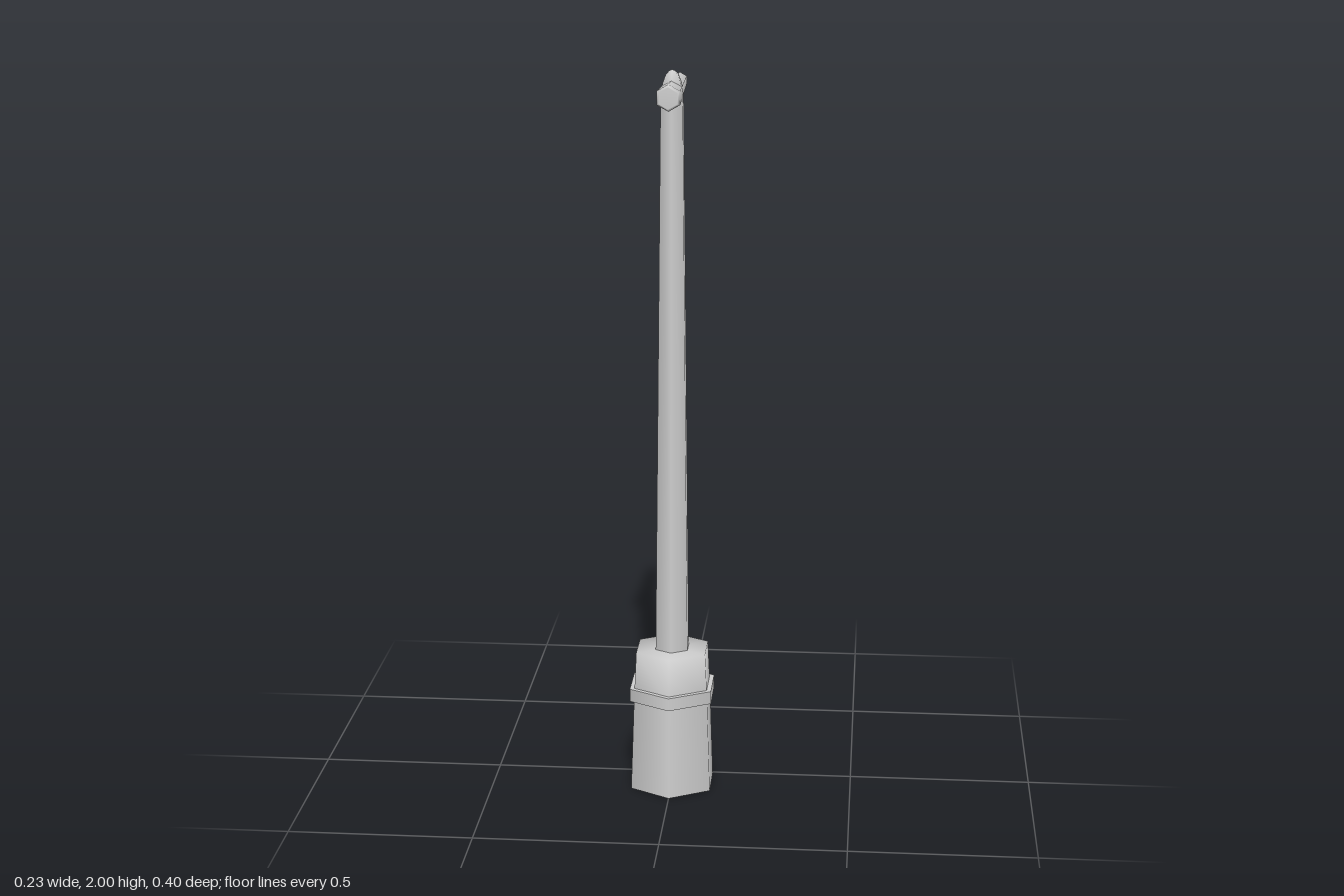
import * as THREE from 'three';

const SIDES = 6;
const material = new THREE.MeshStandardMaterial({ color: 0xcccccc });

// Six-sided smooth turning; profile is [radius, height] from bottom to top
function turned(name, profile) {
  const points = profile.map(([r, y]) => new THREE.Vector2(r, y));
  const mesh = new THREE.Mesh(new THREE.LatheGeometry(points, SIDES), material);
  mesh.name = name;
  return mesh;
}

export function createModel() {
  const model = new THREE.Group();
  model.name = 'postWithCrossArm';

  // Upright post assembly, with hexagon points towards front and back
  const upright = new THREE.Group();
  upright.name = 'upright';
  upright.position.z = 0.07;
  model.add(upright);

  // Tapered socket with a softly shaded top
  upright.add(turned('socket', [[0.127, 0], [0.117, 0.27], [0.11, 0.4], [0, 0.4]]));

  // Flat underside of the socket
  const underside = new THREE.Mesh(new THREE.CircleGeometry(0.127, SIDES), material);
  underside.name = 'underside';
  underside.geometry.rotateZ(Math.PI / 2).rotateX(Math.PI / 2);
  upright.add(underside);

  // Collar band around the socket
  const collar = new THREE.Mesh(new THREE.CylinderGeometry(0.13, 0.13, 0.036, SIDES), material);
  collar.name = 'collar';
  collar.position.y = 0.278;
  upright.add(collar);

  // Long tapered pole with a rounded tip
  upright.add(turned('pole', [
    [0.051, 0.38], [0.034, 1.9], [0.032, 1.94], [0.028, 1.965],
    [0.019, 1.987], [0.009, 1.997], [0, 2],
  ]));

  // Cross arm: narrow rounded back end, thicker bevelled front end
  const arm = turned('crossArm', [
    [0, -0.203], [0.011, -0.2], [0.018, -0.194], [0.0215, -0.182],
    [0.0355, 0.188], [0.031, 0.198], [0.028, 0.2], [0, 0.2],
  ]);
  arm.geometry.rotateX(Math.PI / 2);
  arm.position.y = 1.941;
  model.add(arm);

  return model;
}
